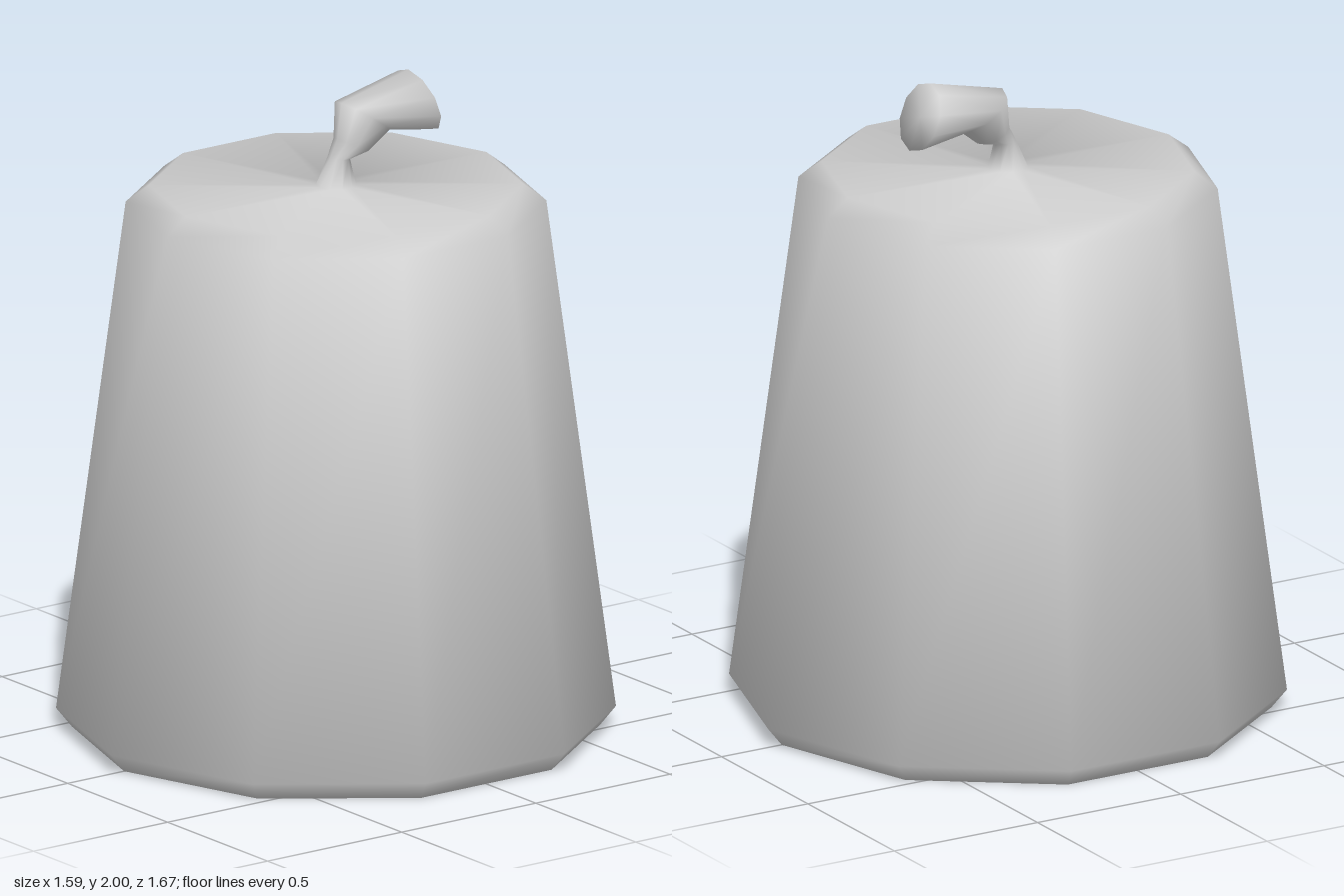
import * as THREE from 'three';
import { toCreasedNormals } from 'three/addons/utils/BufferGeometryUtils.js';

const SIDES = 10;

// Ten-sided ring spanning a front and a back point (z, y), with a half width in x.
function ring(frontZ, frontY, backZ, backY, halfWidth) {
  const points = [];
  for (let i = 0; i < SIDES; i++) {
    const a = (i / SIDES) * Math.PI * 2;
    const t = (1 - Math.cos(a)) / 2;
    points.push(new THREE.Vector3(
      Math.sin(a) * halfWidth,
      THREE.MathUtils.lerp(frontY, backY, t),
      THREE.MathUtils.lerp(frontZ, backZ, t)
    ));
  }
  return points;
}

const level = (r, y) => ring(r, y, -r, y, r);

// Skin consecutive rings, leaving out triangles that collapse at the end points.
function loft(rings) {
  const pos = [];
  const add = (p, q, r) => {
    if (p.distanceTo(q) < 1e-6 || q.distanceTo(r) < 1e-6 || r.distanceTo(p) < 1e-6) return;
    for (const v of [p, q, r]) pos.push(v.x, v.y, v.z);
  };
  for (let j = 0; j < rings.length - 1; j++) {
    for (let i = 0; i < SIDES; i++) {
      const k = (i + 1) % SIDES;
      add(rings[j][i], rings[j][k], rings[j + 1][k]);
      add(rings[j][i], rings[j + 1][k], rings[j + 1][i]);
    }
  }
  const geometry = new THREE.BufferGeometry();
  geometry.setAttribute('position', new THREE.Float32BufferAttribute(pos, 3));
  return geometry;
}

// Copy a range of vertices into its own geometry, keeping the shared smooth normals.
function section(source, start, end) {
  const geometry = new THREE.BufferGeometry();
  for (const name of ['position', 'normal']) {
    const part = source.getAttribute(name).array.slice(start * 3, end * 3);
    geometry.setAttribute(name, new THREE.BufferAttribute(part, 3));
  }
  return geometry;
}

export function createModel() {
  const group = new THREE.Group();
  const material = new THREE.MeshStandardMaterial({ color: 0xcccccc });

  // Tapered body with a bevel at the bottom and the top
  const bodyRings = [
    level(0, 0), level(0.79, 0), level(0.837, 0.058),
    level(0.629, 1.638), level(0.56, 1.69), level(0.06, 1.69),
  ];
  // Stem that pinches in, bends backwards and flares to a blunt end
  const stemRings = [
    ring(0.022, 1.775, -0.042, 1.77, 0.037),
    ring(-0.005, 1.83, -0.106, 1.78, 0.055),
    ring(-0.02, 1.94, -0.175, 1.835, 0.09),
    ring(-0.27, 2.0, -0.344, 1.8, 0.104),
    ring(-0.307, 1.9, -0.307, 1.9, 0),
  ];

  // One continuous smooth skin, split where the stem leaves the body
  const skin = toCreasedNormals(loft([...bodyRings, ...stemRings]), Math.PI);
  const split = loft(bodyRings).getAttribute('position').count;
  const total = skin.getAttribute('position').count;

  const body = new THREE.Mesh(section(skin, 0, split), material);
  body.name = 'body';
  const stem = new THREE.Mesh(section(skin, split, total), material);
  stem.name = 'stem';
  group.add(body, stem);
  return group;
}
